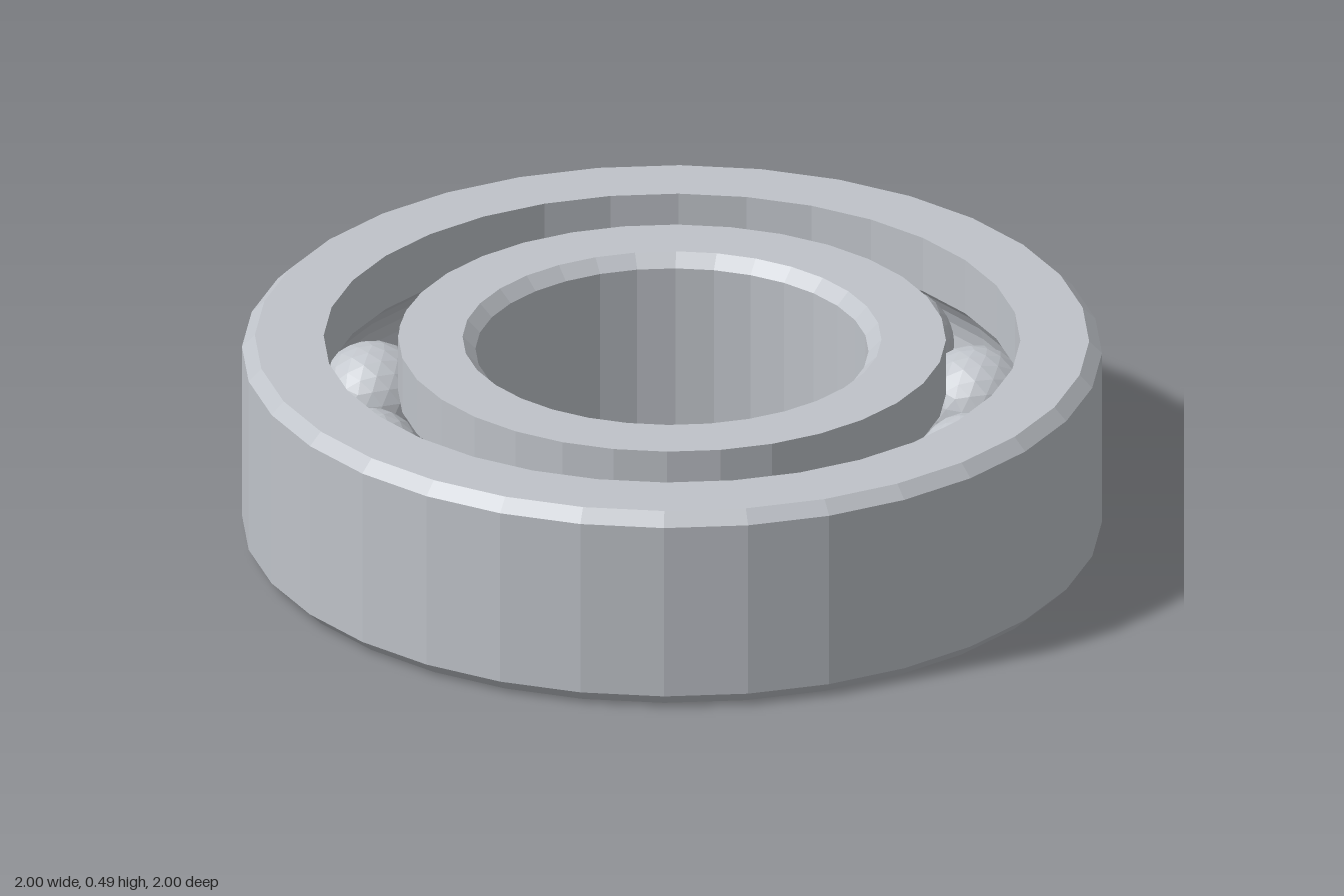
import * as THREE from 'three';

const HEIGHT = 0.49, MID = HEIGHT / 2, CHAMFER = 0.03;
const PITCH = 0.725, BALL = 0.135, BALLS = 12, SIDES = 32;

// Ball groove cut into the wall at the given radius, as an arc about the ball centre
function groove(wall, steps = 8) {
  const side = Math.sign(wall - PITCH);
  const half = Math.acos(Math.abs(wall - PITCH) / (BALL + 0.003));
  const points = [];
  for (let i = 0; i <= steps; i++) {
    const a = half * (2 * i / steps - 1);
    points.push([PITCH + side * (BALL + 0.003) * Math.cos(a), MID + (BALL + 0.003) * Math.sin(a)]);
  }
  return points;
}

// Closed counterclockwise section (radius, height) turned into a faceted ring
function ring(name, section, material) {
  const points = [...section, section[0]].map(([r, y]) => new THREE.Vector2(r, y));
  const mesh = new THREE.Mesh(new THREE.LatheGeometry(points, SIDES), material);
  mesh.name = name;
  return mesh;
}

export function createModel() {
  const model = new THREE.Group();
  model.name = 'ballBearing';
  const steel = new THREE.MeshStandardMaterial({ color: 0xbfc3c9, flatShading: true });
  steel.name = 'steel';

  // Outer race: chamfered outside, grooved inside
  model.add(ring('outerRace', [
    [0.81, 0], [1 - CHAMFER, 0], [1, CHAMFER], [1, HEIGHT - CHAMFER],
    [1 - CHAMFER, HEIGHT], [0.81, HEIGHT], ...groove(0.81).reverse(),
  ], steel));

  // Inner race: grooved outside, chamfered bore
  const bore = 0.457;
  model.add(ring('innerRace', [
    [bore + CHAMFER, 0], [0.637, 0], ...groove(0.637), [0.637, HEIGHT],
    [bore + CHAMFER, HEIGHT], [bore, HEIGHT - CHAMFER], [bore, CHAMFER],
  ], steel));

  // Balls, each with a vertex pointing up
  const ballGeometry = new THREE.IcosahedronGeometry(BALL, 3).rotateZ(-Math.atan(2 / (1 + Math.sqrt(5))));
  const balls = new THREE.Group();
  balls.name = 'balls';
  for (let i = 0; i < BALLS; i++) {
    const a = i / BALLS * Math.PI * 2;
    const ball = new THREE.Mesh(ballGeometry, steel);
    ball.name = 'ball';
    ball.position.set(PITCH * Math.sin(a), MID, PITCH * Math.cos(a));
    ball.rotation.y = a;
    balls.add(ball);
  }
  model.add(balls);
  return model;
}
